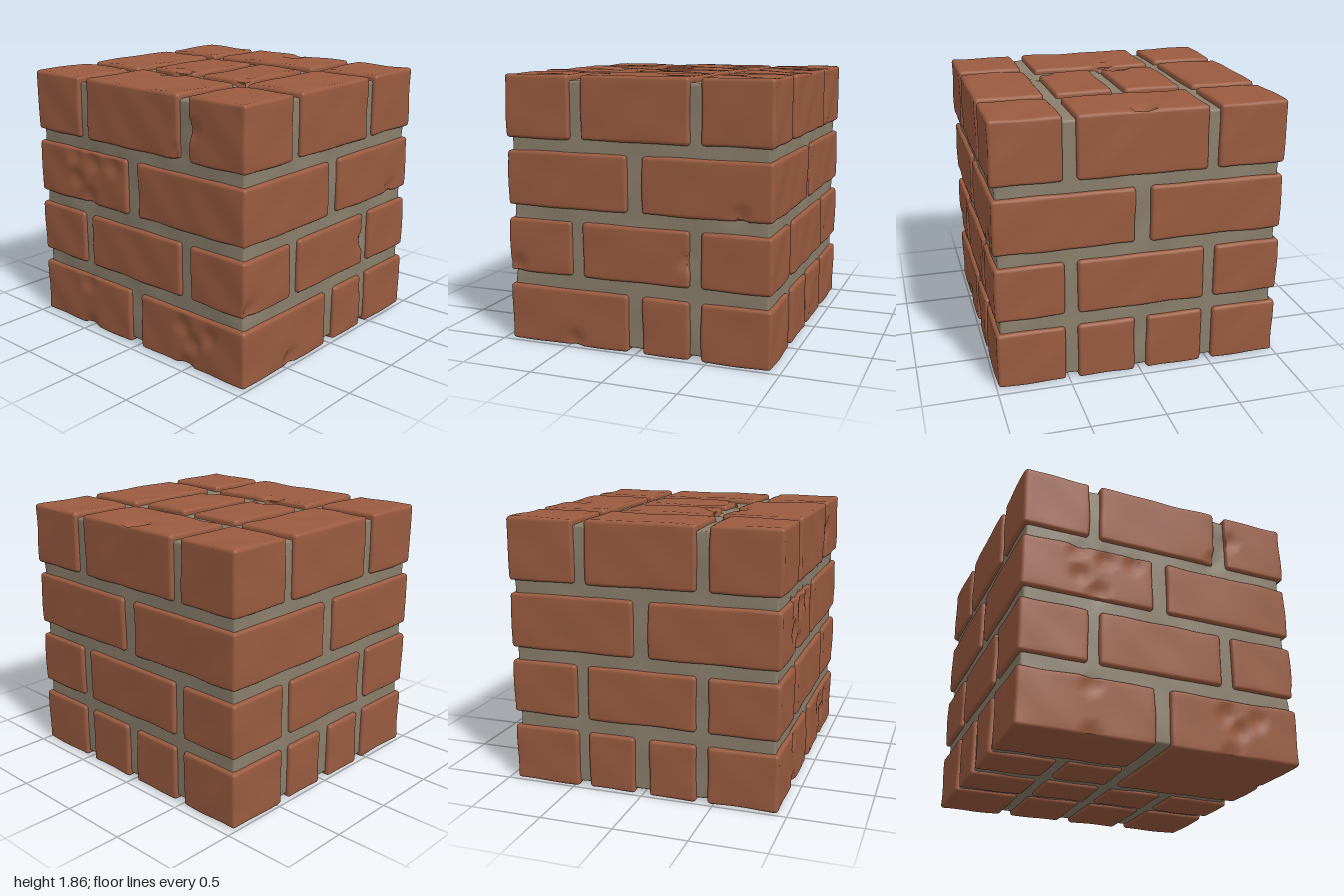
import * as THREE from 'three';
import { mergeVertices } from 'three/addons/utils/BufferGeometryUtils.js';

const brickMat = new THREE.MeshStandardMaterial({ color: 0x9a5b40 });
brickMat.name = 'fired clay';
const mortarMat = new THREE.MeshStandardMaterial({ color: 0x8b7f6c });
mortarMat.name = 'mortar';

// Chips on the front (x, y), the right-hand side (y, z) and the top (x, z)
const dent = (x, y, z, radius, depth) => ({ at: new THREE.Vector3(x, y, z), radius, depth });
const frontChips = [[-0.5, 0.02], [0.47, 0.02], [-0.5, 0.35], [0.45, 0.3], [0.55, 0.2], [0.68, 0.28],
  [-0.6, 1.3], [-0.4, 1.27], [-0.2, 1.28], [-0.45, 1.02], [-0.58, 1.13], [0.43, 1.47], [0.55, 1.65]];
const sideChips = [[0.06, 0.45], [1, -0.72], [0.55, 0.88], [0.68, -0.38]];
const topChips = [[-0.17, 0.28], [-0.1, 0.4], [0.4, 0.28], [-0.02, -0.86]];
const dents = [
  ...frontChips.map(([x, y]) => dent(x, y, 0.94, 0.08, 0.023)),
  ...sideChips.map(([y, z]) => dent(0.99, y, z, 0.07, 0.025)),
  ...topChips.map(([x, z]) => dent(x, 1.86, z, 0.085, 0.038)),
];

// Gentle hand-made unevenness
const wobble = ({ x, y, z }) =>
  Math.sin(x * 9 + y * 5 + 1) * Math.sin(y * 11 - z * 7) + 0.7 * Math.sin(z * 13 + x * 17 + y * 15);

// Rounded, worn block filling three spans
function wornBlock(spans, r, step, wear) {
  const half = spans.map(([lo, hi]) => (hi - lo) / 2);
  const centre = new THREE.Vector3(...spans.map(([lo, hi]) => (lo + hi) / 2));
  const seg = half.map(h => Math.max(5, Math.round((2 * h - 2 * r) / step) + 4));
  let geo = new THREE.BoxGeometry(2, 2, 2, ...seg);
  geo.deleteAttribute('uv');
  geo.deleteAttribute('normal');
  geo.clearGroups();
  geo = mergeVertices(geo);

  // Two narrow segments at each end follow the rounded edge
  const end = [0, 0.55 * r, r];
  const spread = (u, k) => {
    const h = half[k], n = seg[k];
    const i = Math.round((u + 1) / 2 * n);
    if (i <= 2) return -h + end[i];
    if (i >= n - 2) return h - end[n - i];
    return -h + r + (i - 2) / (n - 4) * 2 * (h - r);
  };
  const pos = geo.attributes.position;
  const p = new THREE.Vector3(), q = new THREE.Vector3(), n = new THREE.Vector3();
  const inner = new THREE.Vector3(...half).subScalar(r);
  const low = inner.clone().negate();
  for (let i = 0; i < pos.count; i++) {
    p.fromBufferAttribute(pos, i);
    p.set(spread(p.x, 0), spread(p.y, 1), spread(p.z, 2));
    q.copy(p).clamp(low, inner);
    n.copy(p).sub(q).normalize();
    p.copy(q).addScaledVector(n, r).add(centre);
    let push = wear * (wobble(p) - 0.6);
    for (const { at, radius, depth } of dents) {
      const d = p.distanceTo(at) / radius;
      if (d < 1) push -= depth * (1 - d * d);
    }
    p.addScaledVector(n, push);
    pos.setXYZ(i, p.x, p.y, p.z);
  }
  geo.computeVertexNormals();
  return geo;
}

export function createModel() {
  const model = new THREE.Group();
  model.name = 'brickBlock';

  const core = new THREE.Mesh(
    wornBlock([[-0.962, 0.962], [0.035, 1.825], [-0.912, 0.912]], 0.02, 0.06, 0.004), mortarMat);
  core.name = 'mortarCore';
  model.add(core);

  // Brick spans along x and z
  const xSpans = {
    L: [-0.99, -0.52], M: [-0.445, 0.435], R: [0.52, 0.99], // corner, middle, corner
    l: [-0.99, -0.06], r: [0.045, 0.99], // long halves
    a: [-0.445, -0.045], b: [0.04, 0.438], // short middles
  };
  const zSpans = {
    B: [-0.94, -0.46], M: [-0.385, 0.38], F: [0.46, 0.94],
    b: [-0.94, -0.05], f: [0.05, 0.94],
    p: [-0.385, -0.05], q: [0.05, 0.38],
    c: [-0.355, 0.285], n: [0.39, 0.94], // top centre and its front neighbour
  };

  // Each brick is an x span letter followed by a z span letter
  const courses = [
    { name: 'bottomCourse', y: [0.01, 0.41], bricks: 'lF rf LB aB bB RB Lp ap bp Rp Lq aq' },
    { name: 'secondCourse', y: [0.5, 0.88], bricks: 'LB MB RB LM RM LF MF RF' },
    { name: 'thirdCourse', y: [0.965, 1.35], bricks: 'lb rb lf rf' },
    { name: 'topCourse', y: [1.43, 1.862], bricks: 'LB MB RB LM ac bc RM LF Mn RF' },
  ];
  for (const { name, y, bricks } of courses) {
    const course = new THREE.Group();
    course.name = name;
    bricks.split(' ').forEach((key, i) => {
      const spans = [xSpans[key[0]], y, zSpans[key[1]]];
      const brick = new THREE.Mesh(wornBlock(spans, 0.025, 0.035, 0.003), brickMat);
      brick.name = `brick${i + 1}`;
      course.add(brick);
    });
    model.add(course);
  }
  return model;
}
